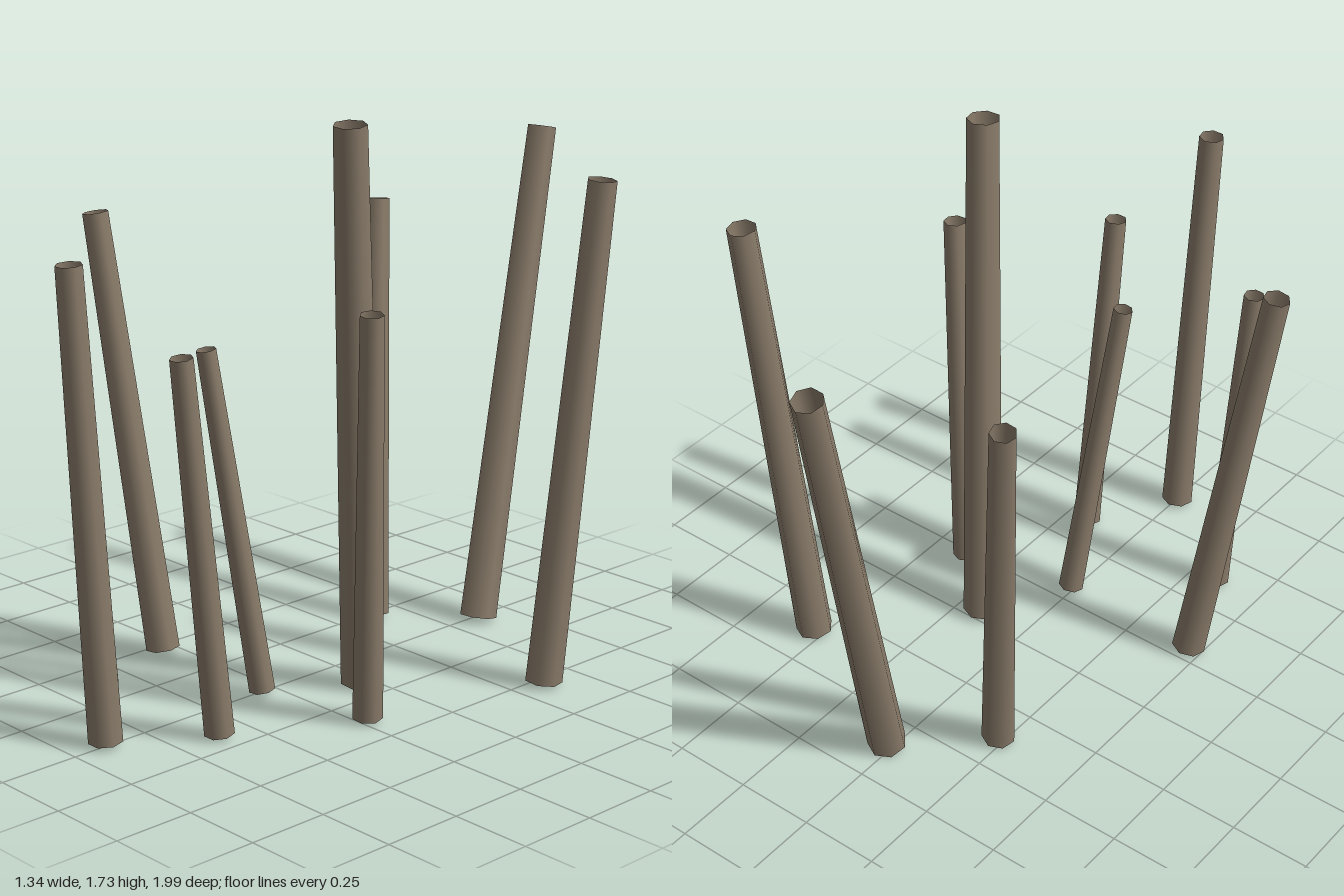
import * as THREE from 'three';

// Each pole: foot x, z, foot radius, then tip x, y, z, tip radius
const POLES = [
  [-0.455, 0.305, 0.053, -0.633, 1.375, 0.388, 0.040],
  [-0.230, -0.380, 0.052, -0.367, 1.330, -0.527, 0.039],
  [-0.343, 0.622, 0.042, -0.383, 1.122, 0.675, 0.032],
  [0.010, 0.308, 0.040, -0.070, 1.068, 0.440, 0.030],
  [0.020, -0.608, 0.060, -0.060, 1.548, -0.950, 0.046],
  [-0.006, 0.886, 0.051, -0.020, 1.405, 0.958, 0.039],
  [0.172, 0.615, 0.045, 0.172, 1.143, 0.733, 0.034],
  [0.163, 0.045, 0.065, 0.265, 1.728, 0.193, 0.050],
  [0.375, 0.225, 0.046, 0.465, 1.243, 0.300, 0.035],
  [0.533, -0.355, 0.058, 0.628, 1.540, -0.450, 0.044],
];
const FOOT_Y = 0.015;
const SIDES = 7;

export function createModel() {
  const group = new THREE.Group();
  group.name = 'leaningPoles';
  const wood = new THREE.MeshStandardMaterial({ color: 0x8b7d6b, side: THREE.DoubleSide });
  wood.name = 'weatheredWood';
  const up = new THREE.Vector3(0, 1, 0);

  // Open tapered tubes, each leaning from its foot to its tip
  POLES.forEach(([fx, fz, footRadius, tx, ty, tz, tipRadius], i) => {
    const foot = new THREE.Vector3(fx, FOOT_Y, fz);
    const tip = new THREE.Vector3(tx, ty, tz);
    const axis = tip.clone().sub(foot);
    const tube = new THREE.CylinderGeometry(tipRadius, footRadius, axis.length(), SIDES, 1, true);
    tube.rotateY(Math.PI);
    const pole = new THREE.Mesh(tube, wood);
    pole.name = `pole${i + 1}`;
    pole.position.copy(foot).add(tip).multiplyScalar(0.5);
    pole.quaternion.setFromUnitVectors(up, axis.normalize());
    group.add(pole);
  });
  return group;
}
